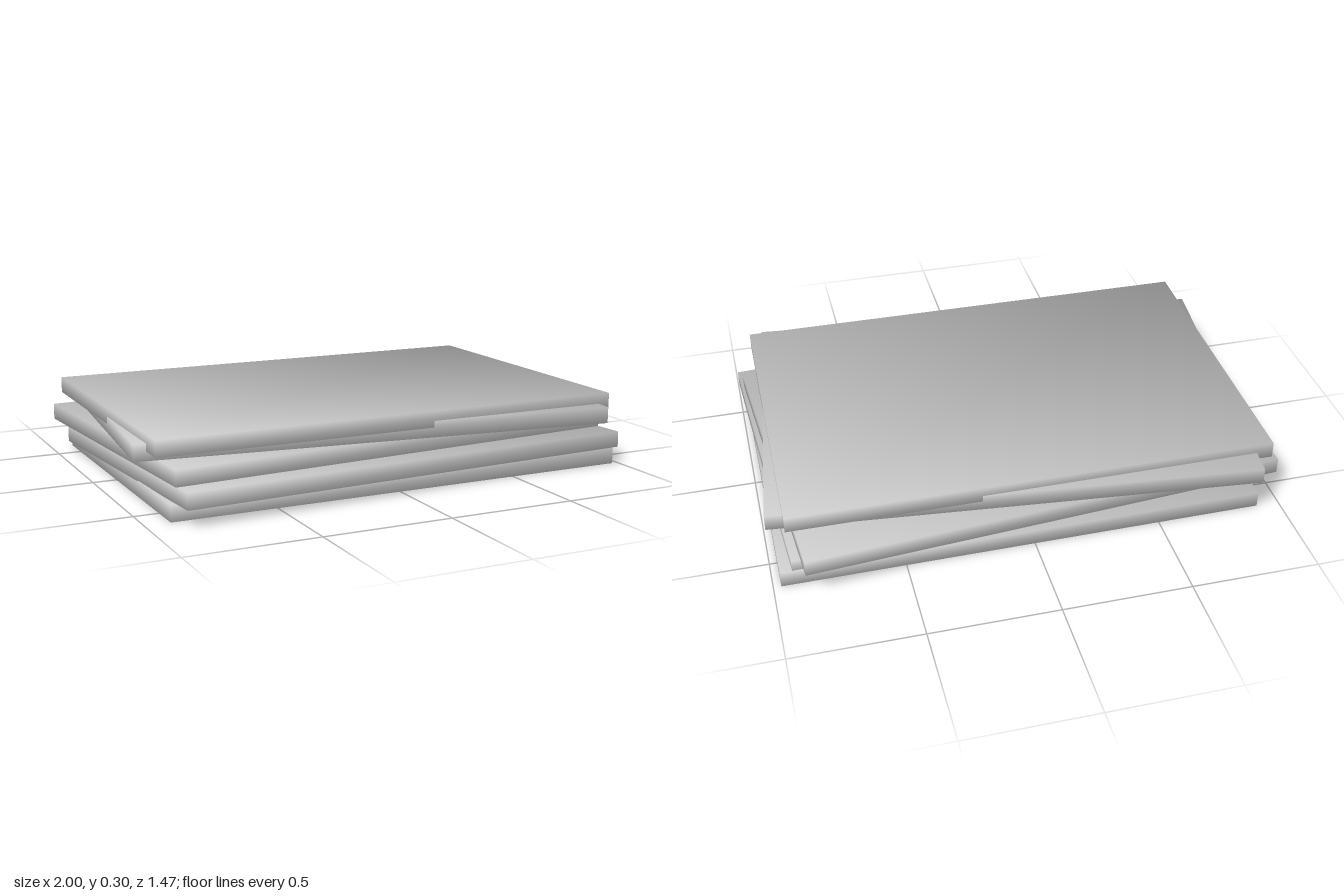
import * as THREE from 'three';

const WIDTH = 1.88, THICKNESS = 0.063, DEPTH = 1.25;

// Slab whose corners are shaded smoothly: each normal points out along its corner diagonal
function makeSlabGeometry() {
  const geometry = new THREE.BoxGeometry(WIDTH, THICKNESS, DEPTH);
  const { position, normal } = geometry.attributes;
  const n = new THREE.Vector3();
  for (let i = 0; i < position.count; i++) {
    n.set(Math.sign(position.getX(i)), Math.sign(position.getY(i)), Math.sign(position.getZ(i))).normalize();
    normal.setXYZ(i, n.x, n.y, n.z);
  }
  return geometry;
}

export function createModel() {
  const model = new THREE.Group();
  model.name = 'slabStack';

  const grey = new THREE.MeshStandardMaterial({ color: 0xcccccc });
  grey.name = 'lightGrey';
  const geometry = makeSlabGeometry();

  // Loosely stacked slabs, bottom to top: centre, turn about y, slight tilts
  const slabs = [
    { at: [0.033, 0.0325, -0.003], turn: 0.004 },
    { at: [0.023, 0.089, 0.051], turn: 0.0585, pitch: -0.016 },
    { at: [-0.004, 0.163, -0.043], turn: 0.078 },
    { at: [0, 0.231, -0.005], turn: -0.102, roll: -0.003 },
    { at: [-0.01, 0.268, 0.011], turn: -0.006 },
  ];

  slabs.forEach(({ at, turn, pitch = 0, roll = 0 }, i) => {
    const slab = new THREE.Mesh(geometry, grey);
    slab.name = `slab${i + 1}`;
    slab.position.set(...at);
    slab.rotation.set(pitch, turn, roll, 'YXZ');
    model.add(slab);
  });

  return model;
}
